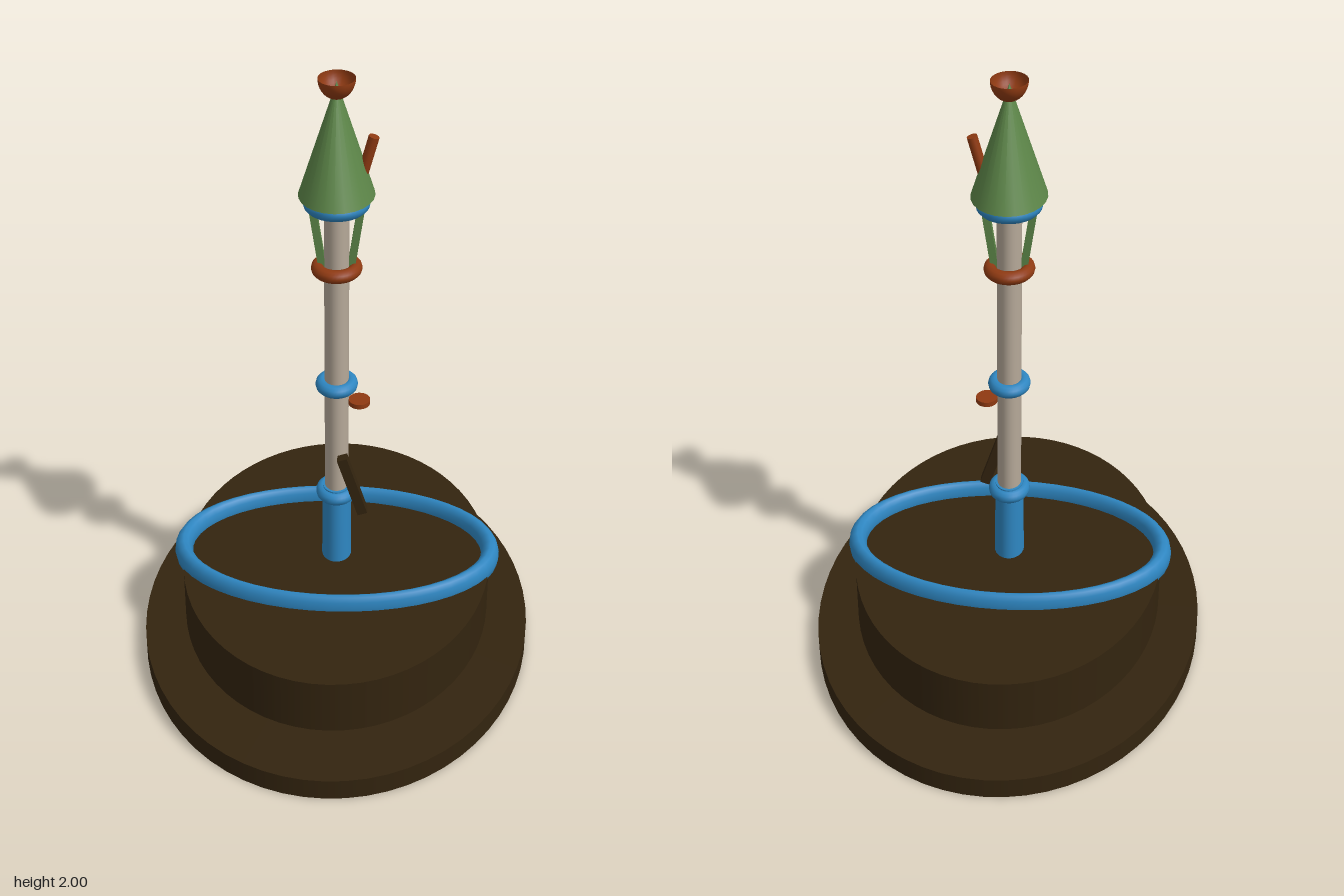
import * as THREE from 'three';

const material = (name, color, side = THREE.FrontSide) => {
  const m = new THREE.MeshStandardMaterial({ color, side });
  m.name = name;
  return m;
};

export function createModel() {
  const model = new THREE.Group();
  model.name = 'tower';
  const brown = material('darkBrown', 0x33240f);
  const blue = material('blue', 0x2e86c1);
  const rust = material('rust', 0x8f3a12, THREE.DoubleSide);
  const green = material('green', 0x5c8548);
  const stone = material('stone', 0xb5a898);

  const add = (name, geometry, mat, x = 0, y = 0, z = 0) => {
    const mesh = new THREE.Mesh(geometry, mat);
    mesh.name = name;
    mesh.position.set(x, y, z);
    model.add(mesh);
    return mesh;
  };

  // Upright elliptical cylinder between two heights
  const column = (name, mat, y0, y1, rx, rz, topRatio = 1, sides = 32, x = 0) => {
    const g = new THREE.CylinderGeometry(topRatio, 1, y1 - y0, sides);
    return add(name, g.scale(rx, 1, rz), mat, x, (y0 + y1) / 2);
  };

  // Flat-lying elliptical ring given its outer half widths and tube size
  const ring = (name, mat, y, outerX, outerZ, tube, halfHeight, sides = 40) => {
    const g = new THREE.TorusGeometry(outerX - tube, tube, 12, sides);
    g.rotateX(Math.PI / 2).scale(1, halfHeight / tube, outerZ / outerX);
    return add(name, g, mat, 0, y);
  };

  // Stepped oval base with a narrow gap between its tiers
  column('lowerBase', brown, 0, 0.07, 0.67, 0.907, 1, 64);
  column('upperBase', brown, 0.105, 0.29, 0.53, 0.718, 1, 64);
  ring('baseRing', blue, 0.3, 0.565, 0.35, 0.031, 0.045, 48);

  // Shaft and collars
  column('shaftFoot', blue, 0.28, 0.572, 0.051, 0.068, 0.93);
  column('shaft', stone, 0.56, 1.64, 0.04, 0.053);
  ring('footCollar', blue, 0.545, 0.07, 0.084, 0.021, 0.023);
  ring('middleCollar', blue, 0.96, 0.07, 0.084, 0.021, 0.022);
  ring('upperCollar', rust, 1.38, 0.082, 0.098, 0.021, 0.021);
  ring('roofCollar', blue, 1.605, 0.106, 0.126, 0.025, 0.026);

  // Pair of slanted roof braces
  for (const side of [-1, 1]) {
    const brace = add('roofBrace', new THREE.BoxGeometry(0.024, 0.24, 0.026), green, side * 0.062, 1.49);
    brace.rotation.z = -side * 0.15;
  }

  // Roof cone and open bowl finial
  column('roof', green, 1.63, 1.99, 0.12, 0.163, 0, 24);
  const bowl = new THREE.SphereGeometry(1, 24, 10, 0, Math.PI * 2, Math.PI / 2, Math.PI / 2);
  add('bowlFinial', bowl.scale(0.058, 0.063, 0.079), rust, 0, 2);

  // Tilted chimney on the roof
  const chimney = new THREE.CylinderGeometry(0.017, 0.017, 0.125, 12);
  add('chimney', chimney.scale(1, 1, 1.25), rust, 0.097, 1.758).rotation.z = -0.27;

  // Small ledge and leaning plank on the shaft
  column('ledge', rust, 0.886, 0.902, 0.036, 0.042, 1, 20, 0.075);
  const plank = new THREE.BoxGeometry(0.034, 0.222, 0.038);
  add('leaningPlank', plank, brown, 0.056, 0.617, 0.081).rotation.z = 0.32;

  return model;
}
